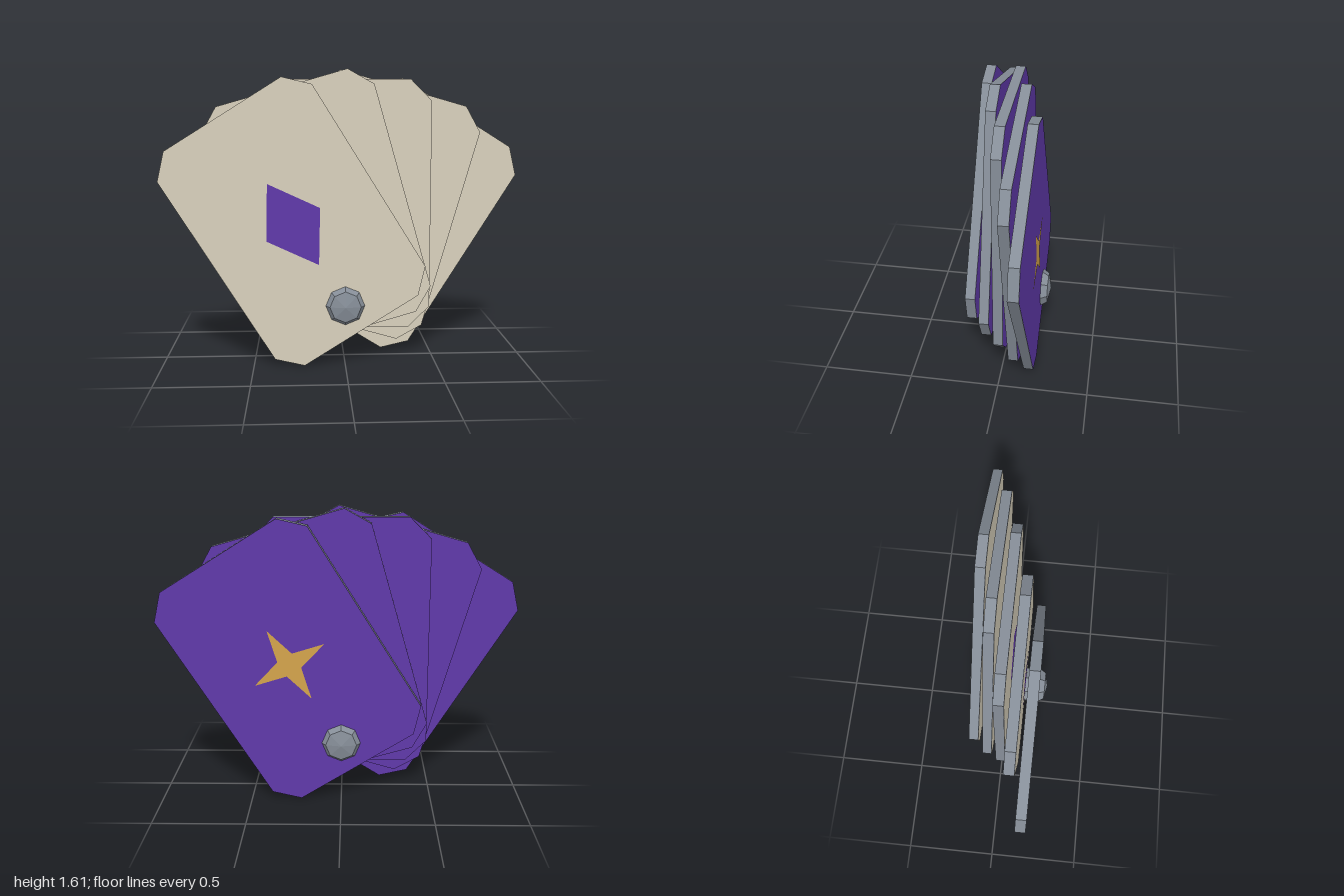
import * as THREE from 'three';

const W = 0.483, H = 0.694, CUT = 0.117;   // card half width, half height, corner cut
const THICK = 0.054, GAP = 0.0785, STEP = THREE.MathUtils.degToRad(16);
const PIVOT_Y = 0.34, REACH = 0.528;       // pin height, pin to card centre

const material = (color) => new THREE.MeshStandardMaterial({ color, flatShading: true });
const polygon = (points) => new THREE.Shape(points.map(([x, y]) => new THREE.Vector2(x, y)));

export function createModel() {
  const model = new THREE.Group();
  model.name = 'cardFan';

  const metal = material(0x868e98);
  const cream = material(0xd8d0bc);
  const purple = material(0x6039aa);
  const gold = material(0xd4a44c);

  // Card outline with cut corners
  const outline = polygon([
    [-W, -H + CUT], [-W + CUT, -H], [W - CUT, -H], [W, -H + CUT],
    [W, H - CUT], [W - CUT, H], [-W + CUT, H], [-W, H - CUT],
  ]);
  const diamond = polygon([[0, 0.26], [-0.17, 0], [0, -0.26], [0.17, 0]]);

  // Four-pointed star
  const star = polygon(Array.from({ length: 8 }, (_, i) => {
    const r = i % 2 ? 0.066 : 0.223, a = i * Math.PI / 4;
    return [r * Math.cos(a), r * Math.sin(a)];
  }));

  const bodyGeo = new THREE.ExtrudeGeometry(outline, { depth: THICK, bevelEnabled: false });
  bodyGeo.translate(0, 0, -THICK / 2);
  const faceGeo = new THREE.ShapeGeometry(outline);
  const diamondGeo = new THREE.ShapeGeometry(diamond);
  const starGeo = new THREE.ShapeGeometry(star);

  const add = (parent, name, geometry, mat, z = 0, back = false) => {
    const mesh = new THREE.Mesh(geometry, mat);
    mesh.name = name;
    mesh.position.z = back ? -z : z;
    if (back) mesh.rotation.y = Math.PI;
    parent.add(mesh);
  };

  // Five cards fanned about the pin, front card leaning to -x
  for (let i = -2; i <= 2; i++) {
    const card = new THREE.Group();
    card.name = `card${i + 3}`;
    card.rotation.z = i * STEP;
    card.position.set(-REACH * Math.sin(i * STEP), PIVOT_Y + REACH * Math.cos(i * STEP), i * GAP);
    add(card, 'cardEdge', bodyGeo, metal);
    add(card, 'cardFront', faceGeo, cream, THICK / 2 + 0.001);
    add(card, 'cardBack', faceGeo, purple, THICK / 2 + 0.001, true);
    add(card, 'diamond', diamondGeo, purple, THICK / 2 + 0.003);
    add(card, 'star', starGeo, gold, THICK / 2 + 0.003, true);
    model.add(card);
  }

  // Eight-sided pin with shallow domed ends
  const profile = [[0, -0.239], [0.085, -0.222], [0.106, -0.19], [0.106, 0.19], [0.085, 0.222], [0, 0.239]];
  const pin = new THREE.Mesh(
    new THREE.LatheGeometry(profile.map(([r, y]) => new THREE.Vector2(r, y)), 8), metal);
  pin.name = 'pivotPin';
  pin.rotation.x = Math.PI / 2;
  pin.position.y = PIVOT_Y;
  model.add(pin);

  return model;
}
